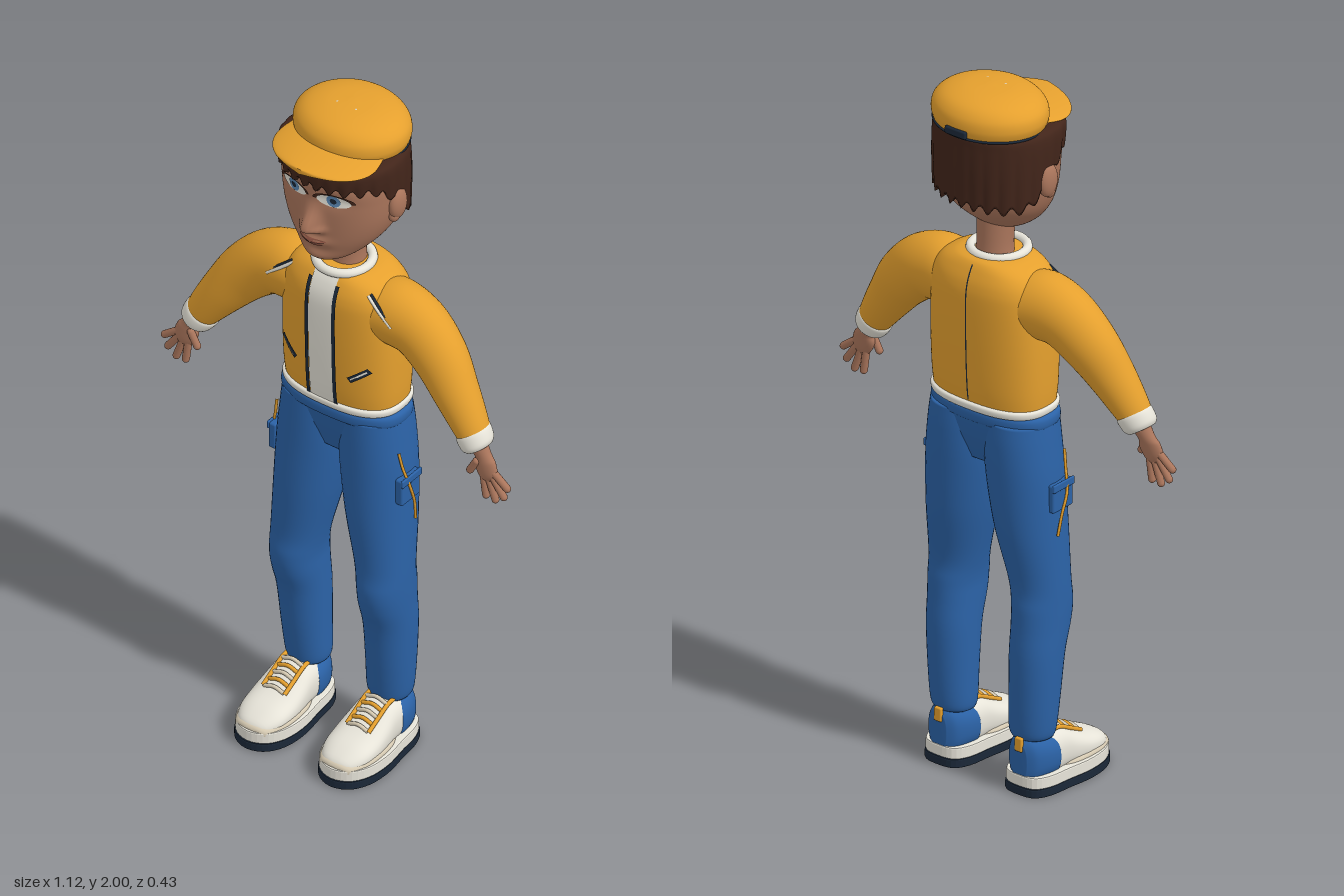
import * as THREE from 'three';
import { RoundedBoxGeometry } from 'three/addons/geometries/RoundedBoxGeometry.js';

const mat = (name, color, side = THREE.FrontSide) => {
  const m = new THREE.MeshStandardMaterial({ color, side });
  m.name = name;
  return m;
};

// Catmull-Rom through rows of numbers
function spline(rows, n) {
  const last = rows.length - 1;
  return Array.from({ length: n + 1 }, (_, i) => {
    const t = (i / n) * last, k = Math.min(Math.floor(t), last - 1), f = t - k;
    const [a, b, c, d] = [-1, 0, 1, 2].map(o => rows[Math.max(0, Math.min(last, k + o))]);
    return b.map((_, j) => b[j] + 0.5 * f * (c[j] - a[j] + f * (2 * a[j] - 5 * b[j] + 4 * c[j] - d[j]
      + f * (3 * (b[j] - c[j]) + d[j] - a[j]))));
  });
}

// Skin superelliptic sections [x, y, z, radius1, radius2]:
// 'y' stacks upward, 'z' runs front to back, 'path' follows a line in the xy plane
function loft(rows, { p = 2, mode = 'y', n = 32, seg = 40 } = {}) {
  const R = spline(rows, n), pos = [], idx = [];
  const pw = v => Math.sign(v) * Math.abs(v) ** (2 / p);
  R.forEach(([x, y, z, a, b], i) => {
    let u = [1, 0];
    if (mode === 'path') {
      const A = R[Math.max(0, i - 1)], B = R[Math.min(n, i + 1)];
      const l = Math.hypot(B[0] - A[0], B[1] - A[1]);
      u = [(B[1] - A[1]) / l, -(B[0] - A[0]) / l];
    }
    for (let j = 0; j < seg; j++) {
      const t = (j / seg) * Math.PI * 2, c = a * pw(Math.cos(t)), s = b * pw(Math.sin(t));
      if (mode === 'z') pos.push(x + c, y + s, z);
      else pos.push(x + u[0] * c, y + u[1] * c, z + s);
    }
  });
  for (let i = 0; i < n; i++) for (let j = 0; j < seg; j++) {
    const a = i * seg + j, b = i * seg + (j + 1) % seg;
    idx.push(a, a + seg, b, b, a + seg, b + seg);
  }
  const e = pos.length / 3;
  pos.push(...R[0].slice(0, 3), ...R[n].slice(0, 3));
  for (let j = 0; j < seg; j++) {
    const k = (j + 1) % seg;
    idx.push(e, j, k, e + 1, n * seg + k, n * seg + j);
  }
  const g = new THREE.BufferGeometry();
  g.setAttribute('position', new THREE.Float32BufferAttribute(pos, 3));
  g.setIndex(idx);
  g.computeVertexNormals();
  return g;
}

// Move every vertex by a rule
function warp(g, rule) {
  const P = g.attributes.position, v = new THREE.Vector3();
  for (let i = 0; i < P.count; i++) {
    rule(v.fromBufferAttribute(P, i));
    P.setXYZ(i, v.x, v.y, v.z);
  }
  g.computeVertexNormals();
  return g;
}

// Front (side 1) or back (side -1) depth of an upright loft
function surface(rows, p, side = 1) {
  const R = spline(rows, 200);
  return (x, y) => {
    const i = Math.max(1, R.findIndex(r => r[1] >= y)), A = R[i - 1], B = R[i];
    const f = Math.min(1, Math.max(0, (y - A[1]) / (B[1] - A[1])));
    const r = A.map((v, k) => v + (B[k] - v) * f);
    return r[2] + side * r[4] * Math.max(0, 1 - Math.abs(x / r[3]) ** p) ** (1 / p);
  };
}
const project = (g, depth, off) => warp(g, v => { v.z = depth(v.x, v.y) + off; });

export function createModel() {
  const gold = mat('gold cloth', 0xe5a02e), blue = mat('blue denim', 0x2b62a6), skin = mat('skin', 0xab765c),
    hairM = mat('brown hair', 0x42251a), white = mat('off white', 0xe8e5da, THREE.DoubleSide),
    tan = mat('warm cream', 0xd8ccb4), navy = mat('dark navy', 0x1b2838, THREE.DoubleSide),
    iris = mat('blue iris', 0x5b88b4), lip = mat('lips', 0x9a5c4a);
  const model = new THREE.Group();
  const add = (parent, name, geo, m) => {
    const mesh = new THREE.Mesh(geo, m);
    mesh.name = name;
    parent.add(mesh);
    return mesh;
  };
  const tube = (pts, r) => new THREE.TubeGeometry(
    new THREE.CatmullRomCurve3(pts.map(q => new THREE.Vector3(...q))), 16, r, 8);
  const ball = (x, y, z, a, b, c) => new THREE.SphereGeometry(1, 24, 16).scale(a, b, c).translate(x, y, z);

  // Head, with nose, lips, chin and eye sockets raised from the skull
  const head = [[1.572, .075, -.02, .03], [1.595, .095, -.07, .075], [1.63, .1, -.115, .112], [1.67, .105, -.15, .14],
    [1.72, .108, -.165, .158], [1.78, .11, -.17, .166], [1.84, .112, -.17, .166], [1.9, .085, -.165, .15],
    [1.93, .045, -.15, .12], [1.96, 0, -.12, .08]].map(([y, f, b, w]) => [0, y, (f + b) / 2, w, (f - b) / 2]);
  const g = (d, s) => Math.exp(-((d / s) ** 2));
  const bump = (x, y) => .046 * g(x, .024) * g(y - 1.703, y < 1.703 ? .016 : .05)
    + .016 * g(x, .04) * g(y - 1.655, .017) + .008 * g(x, .04) * g(y - 1.6, .018)
    + .012 * g(Math.abs(x) - .027, .012) * g(y - 1.697, .012) - .007 * g(Math.abs(x) - .062, .04) * g(y - 1.8, .025);
  const skull = surface(head, 2.2), face = (x, y) => skull(x, y) + bump(x, y);
  add(model, 'head', warp(loft(head, { p: 2.2, n: 90, seg: 120 }), v => { if (v.z > 0) v.z += bump(v.x, v.y); }), skin);
  add(model, 'neck', loft([[0, 1.48, -.045, .056, .052], [0, 1.54, -.045, .05, .047], [0, 1.63, -.04, .054, .05]]), skin);
  const disc = (x, y, a, b) => new THREE.CircleGeometry(1, 32).scale(a, b, 1).translate(x, y, 0);
  add(model, 'upperLip', project(disc(0, 1.66, .042, .006), face, .002), lip);
  add(model, 'lowerLip', project(disc(0, 1.649, .034, .007), face, .002), lip);

  // Hair: a shell whose ragged hem drops towards the nape
  const hair = [[1.68, .12, -.182, .17], [1.78, .126, -.187, .174], [1.86, .126, -.187, .174],
    [1.895, .115, -.185, .165], [1.905, .08, -.16, .14]].map(([y, f, b, w]) => [0, y, (f + b) / 2, w, (f - b) / 2]);
  add(model, 'hair', warp(loft(hair, { p: 2.2, n: 24, seg: 200 }), v => {
    const t = Math.atan2(v.z + .03, v.x), low = 1.695 + .142 * THREE.MathUtils.smoothstep(v.z, -.13, .06)
      + .011 * Math.sin(t * 25);
    const k = (v.y - 1.68) / .225, r = 1 + .03 * Math.abs(Math.sin(t * 12.5)) * (1 - k);
    v.set(v.x * r, low + k * (1.905 - low), (v.z + .03) * r - .03);
  }), hairM);

  // Cap
  const crown = [[1.898, .155, .134], [1.925, .163, .139], [1.955, .156, .133], [1.98, .126, .11], [1.995, .075, .066],
    [2, .01, .01]].map(([y, a, b]) => [0, y, -.066, a, b]);
  add(model, 'capCrown', loft(crown, { n: 40, seg: 64 }), gold);
  add(model, 'capBand', new THREE.TorusGeometry(1, .022, 8, 64).rotateX(Math.PI / 2).scale(.156, .16, .136)
    .translate(0, 1.899, -.066), navy);
  const brim = [[1.9, .166, .008], [1.901, .158, .05], [1.904, .135, .1], [1.909, .095, .138], [1.914, .045, .153],
    [1.92, -.02, .14]].map(([y, z, a]) => [0, y, z, a, .008]);
  add(model, 'capBrim', warp(loft(brim, { mode: 'z', p: 2.4 }), v => { v.y += .008 - v.x * v.x * .9; }), gold);
  add(model, 'capStrap', new RoundedBoxGeometry(.07, .022, .012, 3, .005).translate(0, 1.912, -.205), navy);

  // Jacket body, hem, collar and the shirt showing in the opening
  const torso = [[1.095, .172, .104], [1.16, .177, .112], [1.28, .179, .117], [1.4, .176, .118], [1.45, .168, .113],
    [1.485, .145, .1], [1.507, .105, .086], [1.515, .07, .07]].map(([y, a, b]) => [0, y, -.046, a, b]);
  const chest = surface(torso, 2.6), back = surface(torso, 2.6, -1);
  add(model, 'jacketBody', loft(torso, { p: 2.6, n: 48, seg: 72 }), gold);
  add(model, 'jacketHem', loft([[1.086, .166, .1], [1.092, .178, .112], [1.108, .18, .114], [1.114, .17, .104]]
    .map(([y, a, b]) => [0, y, -.046, a, b]), { p: 2.6, n: 12, seg: 64 }), white);
  add(model, 'collar', new THREE.TorusGeometry(.074, .013, 12, 48).rotateX(Math.PI / 2).translate(0, 1.514, -.03), white);
  add(model, 'shirtFront', project(new THREE.PlaneGeometry(.076, .405, 8, 32).translate(0, 1.305, 0), chest, .004), white);
  add(model, 'backSeam', project(new THREE.PlaneGeometry(.004, .385, 1, 32).rotateY(Math.PI).translate(0, 1.31, 0),
    back, -.002), navy);

  // Waistband and seat of the trousers
  add(model, 'waistband', loft([[1.05, .172, .096], [1.058, .186, .105], [1.082, .186, .105], [1.092, .172, .096]]
    .map(([y, a, b]) => [0, y, -.043, a, b]), { p: 2.5, n: 12, seg: 64 }), blue);
  add(model, 'trouserSeat', loft([[0, .93, -.045, .09, .07], [0, 1, -.046, .165, .09], [0, 1.06, -.045, .182, .1]],
    { p: 2.4 }), blue);

  // Everything that comes in pairs, built for +x and mirrored
  const shoeShape = s => {
    const half = [[0, .21], [.045, .194], [.074, .15], [.084, .08], [.075, 0], [.066, -.07], [.045, -.106], [0, -.114]];
    const pts = [...half, ...half.slice(1, -1).reverse().map(([x, z]) => [-x, z])];
    const curve = new THREE.CatmullRomCurve3(pts.map(([x, z]) =>
      new THREE.Vector3(x * s, -(z - .05) * s - .05, 0)), true);
    return new THREE.Shape(curve.getPoints(48).map(v => new THREE.Vector2(v.x, v.y)));
  };
  const sole = (y, h, s) => new THREE.ExtrudeGeometry(shoeShape(s),
    { depth: h - .008, bevelThickness: .004, bevelSize: .004, bevelSegments: 2, curveSegments: 1 })
    .rotateX(-Math.PI / 2).translate(.135, y + .004, 0);
  const shoe = rows => loft(rows.map(([z, bottom, top, w]) => [.135, (bottom + top) / 2, z, w, (top - bottom) / 2]),
    { mode: 'z', p: 2.4, n: 28 });

  const buildSide = side => {
    const half = new THREE.Group();
    half.name = side + 'Side';
    const put = (name, geo, m) => add(half, name, geo, m);

    // Eye and ear
    put('eyeWhite', project(disc(.063, 1.8, .047, .02), face, .002), white);
    put('iris', project(disc(.063, 1.801, .019, .019), face, .004), iris);
    put('pupil', project(disc(.063, 1.801, .009, .009), face, .006), navy);
    put('lashLine', project(new THREE.RingGeometry(.93, 1.16, 32, 1, 0, Math.PI).scale(.049, .021, 1)
      .translate(.063, 1.8, 0), face, .005), hairM);
    put('ear', ball(.168, 1.762, -.035, .02, .048, .032), skin);
    put('earLobe', ball(.165, 1.727, -.025, .014, .02, .018), skin);
    put('capEyelet', ball(.03, 1.995, -.04, .005, .004, .005), tan);

    // Sleeve and cuff
    put('sleeve', loft([[.1, 1.4, -.045, .08, .09], [.17, 1.402, -.042, .094, .084], [.24, 1.383, -.04, .088, .077],
      [.31, 1.325, -.032, .079, .07], [.37, 1.25, -.018, .065, .06], [.42, 1.18, -.008, .052, .05],
      [.447, 1.138, -.003, .042, .043]], { mode: 'path', n: 40 }), gold);
    put('cuff', loft([[.428, 1.166, -.006, .042, .042], [.434, 1.157, -.005, .05, .049], [.45, 1.132, -.002, .047, .047],
      [.457, 1.121, -.001, .037, .038]], { mode: 'path', n: 16 }), white);

    // Hand
    put('wrist', loft([[.442, 1.146, -.002, .03, .026], [.468, 1.105, 0, .024, .019], [.478, 1.08, .003, .034, .017],
      [.492, 1.05, .006, .03, .014], [.5, 1.036, .006, .014, .008]], { mode: 'path', n: 20, seg: 24 }), skin);
    [[.5, 1.07, .555, 1.028], [.5, 1.055, .543, .995], [.49, 1.045, .515, .975], [.474, 1.05, .484, .977],
      [.462, 1.09, .437, 1.045]].forEach(([x, y, X, Y], i) => {
      const d = new THREE.Vector3(X - x, Y - y, 0), len = d.length();
      const finger = put(i < 4 ? 'finger' : 'thumb', new THREE.CapsuleGeometry(.0105, len - .01, 6, 12), skin);
      finger.position.set((x + X) / 2, (y + Y) / 2, i < 4 ? .006 : .016);
      finger.quaternion.setFromUnitVectors(new THREE.Vector3(0, 1, 0), d.normalize());
    });

    // Jacket trim: zip edge, welt pocket and shoulder piping
    put('zipEdge', project(new THREE.PlaneGeometry(.011, .375, 2, 32).translate(.043, 1.3, 0), chest, .006), navy);
    const welt = (w, h, dy) => new THREE.PlaneGeometry(w, h, 12, 2).rotateZ(.66).translate(.112, 1.228 + dy, 0);
    put('pocketWelt', project(welt(.068, .018, 0), chest, .004), navy);
    put('pocketPiping', project(welt(.056, .005, .001), chest, .007), white);
    put('shoulderPiping', tube([[.12, 1.475, .028], [.16, 1.442, .034], [.2, 1.41, .036]], .005), white);
    put('shoulderSeam', tube([[.125, 1.479, .023], [.165, 1.446, .031], [.205, 1.414, .033]], .004), navy);

    // Trouser leg, cargo pocket and side cord
    put('trouserLeg', loft([[.131, .155, -.052, .056, .052], [.132, .18, -.053, .063, .058], [.136, .27, -.05, .066, .066],
      [.139, .39, -.044, .069, .075], [.14, .47, -.03, .07, .085], [.14, .53, -.025, .071, .088], [.134, .6, -.027, .077, .083],
      [.115, .75, -.038, .092, .097], [.101, .9, -.045, .101, .101], [.094, 1, -.047, .098, .101],
      [.09, 1.065, -.046, .094, .098]], { n: 60, p: 2.15 }), blue);
    put('cargoPocket', new RoundedBoxGeometry(.024, .08, .08, 3, .006).translate(.204, .86, -.03), blue);
    put('pocketFlap', new RoundedBoxGeometry(.008, .022, .084, 2, .003).translate(.216, .892, -.03), blue);
    put('sideCord', tube([[.196, .98, -.002], [.205, .93, -.008], [.22, .87, -.02], [.219, .81, -.04], [.214, .75, -.05]],
      .004), gold);

    // Shoe
    put('outsole', sole(0, .026, 1), navy);
    put('midsole', sole(.024, .034, .98), white);
    put('shoeUpper', shoe([[.2, .04, .065, .015], [.188, .03, .08, .045], [.15, .03, .1, .067], [.1, .03, .117, .073],
      [.05, .03, .142, .07], [.01, .03, .162, .065], [-.05, .03, .163, .061], [-.09, .03, .158, .048],
      [-.108, .035, .14, .025]]), white);
    put('toeGuard', shoe([[.204, .04, .062, .015], [.193, .03, .072, .048], [.15, .03, .08, .071], [.1, .03, .084, .077],
      [.04, .03, .08, .072], [.0, .04, .07, .055]]), tan);
    put('heelPanel', shoe([[-.012, .03, .14, .052], [-.022, .03, .158, .066], [-.06, .03, .164, .063],
      [-.095, .03, .16, .048], [-.112, .04, .145, .024]]), blue);
    put('heelTab', new RoundedBoxGeometry(.024, .04, .012, 2, .004).translate(.135, .145, -.112), gold);
    for (let i = 0; i < 5; i++) {
      const y = .126 + i * .0105, z = .092 - i * .02;
      put('lace', tube([[.102, y - .008, z], [.135, y + .002, z], [.168, y - .008, z]], .0055), i % 2 ? gold : tan);
    }
    for (const x of [.1, .17])
      put('laceTrim', tube([[x, .118, .095], [x, .138, .055], [x, .16, .01], [x, .163, -.015]], .006), gold);
    return half;
  };
  const left = buildSide('left'), right = buildSide('right');
  right.scale.x = -1;
  model.add(left, right);
  return model;
}
